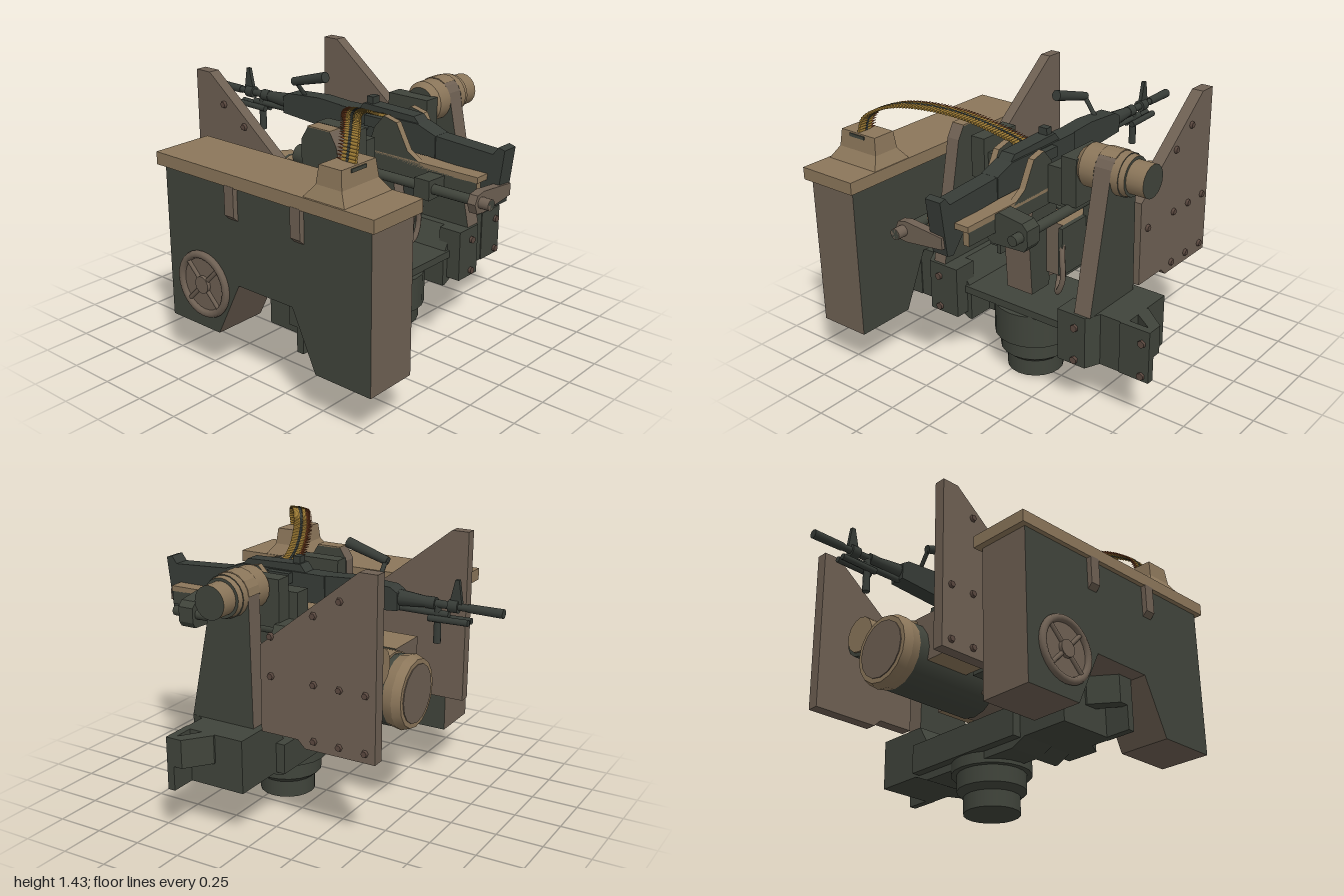
import * as THREE from 'three';
import { mergeGeometries } from 'three/addons/utils/BufferGeometryUtils.js';

const mat = (name, hex) => {
  const m = new THREE.MeshStandardMaterial({ color: hex });
  m.name = name;
  return m;
};

export function createModel() {
  const tan = mat('tan paint', 0x8b765a), brown = mat('brown paint', 0x6e6053);
  const dark = mat('dark green grey', 0x40443b), gun = mat('gunmetal', 0x373c37);
  const brass = mat('brass', 0x9c7a34), copper = mat('copper', 0x8a4a26), bolt = mat('bolt', 0x5a483f);
  const root = new THREE.Group();

  const add = (name, geo, m) => {
    const mesh = new THREE.Mesh(geo, m);
    mesh.name = name;
    root.add(mesh);
  };
  // box given by its limits
  const box = (name, m, x0, x1, y0, y1, z0, z1) =>
    add(name, new THREE.BoxGeometry(x1 - x0, y1 - y0, z1 - z0)
      .translate((x0 + x1) / 2, (y0 + y1) / 2, (z0 + z1) / 2), m);
  // cylinder between two points, radius r0 at a and r1 at b
  const tubeGeo = (a, b, r0, r1 = r0, seg = 16) => {
    const va = new THREE.Vector3(...a), d = new THREE.Vector3(...b).sub(va);
    const q = new THREE.Quaternion().setFromUnitVectors(new THREE.Vector3(0, 1, 0), d.clone().normalize());
    return new THREE.CylinderGeometry(r1, r0, d.length(), seg).applyQuaternion(q)
      .translate(...va.addScaledVector(d, 0.5).toArray());
  };
  const rod = (name, m, a, b, r0, r1, seg) => add(name, tubeGeo(a, b, r0, r1, seg), m);
  const extrude = (pts, depth) => new THREE.ExtrudeGeometry(
    new THREE.Shape(pts.map(p => new THREE.Vector2(...p))), { depth, bevelEnabled: false });
  // side profile of [z, y] points, spanning x0..x1
  const side = (name, m, pts, x0, x1) =>
    add(name, extrude(pts, x1 - x0).rotateY(-Math.PI / 2).translate(x1, 0, 0), m);
  // front profile of [x, y] points, spanning z0..z1
  const front = (name, m, pts, z0, z1) => add(name, extrude(pts, z1 - z0).translate(0, 0, z0), m);
  // plan outline of [x, z] points, spanning y0..y1
  const plan = (name, m, pts, y0, y1) =>
    add(name, extrude(pts.map(([x, z]) => [x, -z]), y1 - y0).rotateX(-Math.PI / 2).translate(0, y0, 0), m);
  const capped = [dark, brown], faced = [dark, dark, tan, tan, brown, brown];

  // turntable pedestal
  const px = 0.053, pz = 0.215;
  [[0, 0.09, 0.15, 0.15], [0.09, 0.12, 0.15, 0.185], [0.12, 0.21, 0.185, 0.185], [0.21, 0.39, 0.215, 0.215]]
    .forEach(([y0, y1, r0, r1]) => rod('pedestal', dark, [px, y0, pz], [px, y1, pz], r0, r1, 20));

  // cross beam: slim middle under a deck plate, raised boxes at both ends
  front('crossBeam', dark, [[-0.36, 0.27], [-0.27, 0.23], [0.37, 0.23], [0.46, 0.27], [0.46, 0.4], [-0.36, 0.4]], 0.04, 0.24);
  box('beamDeck', dark, -0.33, 0.43, 0.39, 0.43, -0.01, 0.4);
  box('beamBackRib', dark, -0.33, 0.43, 0.27, 0.4, -0.01, 0.05);
  // mirrored about the pedestal axis
  [-1, 1].forEach(s => {
    const mx = pts => pts.map(([x, v]) => [px + s * (x - px), v]);
    front('beamEnd', dark, mx([[0.66, 0.27], [0.66, 0.55], [0.43, 0.55], [0.35, 0.41], [0.35, 0.23], [0.37, 0.23], [0.45, 0.27]]), 0.04, 0.385);
    plan('endBox', dark, mx([[0.65, 0.04], [0.73, 0.04], [0.73, 0.385], [0.65, 0.385]]), 0.27, 0.55);
    plan('wingPlate', dark, mx([[0.7, 0.35], [0.87, 0.35], [0.87, 0.39], [0.7, 0.39]]), 0.27, 0.55);
    plan('wingRib', dark, mx([[0.72, 0.2], [0.74, 0.2], [0.87, 0.3], [0.87, 0.36], [0.85, 0.36], [0.72, 0.27]]), 0.4, 0.55);
  });
  plan('armFoot', dark, [[-0.53, 0.33], [-0.455, 0.465], [-0.27, 0.465], [-0.27, 0.33]], 0.27, 0.55);
  plan('armFoot', dark, [[0.385, 0.33], [0.385, 0.465], [0.55, 0.465], [0.61, 0.33]], 0.27, 0.55);
  [[-0.39, 0.46], [0.49, 0.46], [0.83, 0.385]].forEach(([x, z]) => [0.3, 0.48].forEach(y =>
    rod('beamBolt', bolt, [x, y, z], [x, y, z + 0.02], 0.02, 0.02, 6)));

  // upright trunnion arms, the motor side with a round head
  const head = [...Array(9)].map((_, i) => {
    const a = i * Math.PI / 8;
    return [0.2 + 0.108 * Math.cos(a), 1.225 + 0.108 * Math.sin(a)];
  });
  side('leftArm', capped, [[0.08, 0.55], [0.45, 0.55], ...head], 0.475, 0.57);
  side('rightArm', capped, [[0.08, 0.55], [0.45, 0.55], [0.31, 1.2], [0.27, 1.265], [0.13, 1.265], [0.09, 1.2]], -0.435, -0.36);
  box('rightArmCap', tan, -0.435, -0.36, 1.263, 1.27, 0.13, 0.27);

  // elevation motor, with its cover over the arm's head
  [[0.355, 0.39, 0.085, 0.11], [0.39, 0.475, 0.11, 0.11], [0.57, 0.61, 0.11, 0.11],
    [0.61, 0.64, 0.105, 0.1], [0.64, 0.735, 0.085, 0.085]].forEach(([x0, x1, r0, r1]) =>
    rod('elevationMotor', [tan, dark, dark], [x0, 1.222, 0.2], [x1, 1.222, 0.2], r0, r1, 20));
  side('motorCover', tan, [0, 1, 2, 3, 4, 5, 6].map(i => {
    const a = Math.PI * (0.3 + i * 0.7 / 6);
    return [0.2 - 0.112 * Math.cos(Math.PI - a), 1.225 + 0.112 * Math.sin(a)];
  }), 0.476, 0.569);

  // armour plates with bolts on the outside
  const plate = [[0.03, 0.55], [0.03, 1.0], [-0.51, 1.43], [-0.605, 1.43], [-0.605, 0.51], [-0.22, 0.51], [-0.18, 0.55]];
  const spots = [[-0.41, 1.28], [-0.27, 1.19], [-0.03, 1.05], [-0.03, 0.85], [-0.27, 0.85], [-0.41, 0.85],
    [-0.55, 0.85], [-0.27, 0.56], [-0.41, 0.56], [-0.55, 0.56]];
  [[-0.465, -0.405, -0.465, -1], [0.505, 0.57, 0.57, 1]].forEach(([x0, x1, xo, s]) => {
    side('armourPlate', brown, plate, x0, x1);
    spots.forEach(([z, y]) => rod('plateBolt', bolt, [xo - s * 0.005, y, z], [xo + s * 0.014, y, z], 0.021, 0.016, 6));
  });

  // ammunition box, notched over the end of the beam
  side('ammoBox', capped, [[0.87, 0.25], [0.87, 1.06], [-0.435, 1.06], [-0.435, 0.25], [-0.1, 0.25],
    [0.05, 0.55], [0.4, 0.55], [0.54, 0.25]], -0.845, -0.56);
  box('boxLid', tan, -0.87, -0.535, 1.055, 1.12, -0.47, 0.9);
  [0.03, 0.45].forEach(z => front('lidLatch', brown,
    [[-0.84, 0.88], [-0.84, 1.06], [-0.872, 1.06], [-0.872, 0.91]], z - 0.03, z + 0.03));
  // round hatch with spokes
  const hz = -0.19, hy = 0.49;
  rod('hatchDisc', brown, [-0.84, hy, hz], [-0.852, hy, hz], 0.15, 0.15, 24);
  add('hatchRing', new THREE.TorusGeometry(0.155, 0.02, 8, 28).rotateY(Math.PI / 2).translate(-0.852, hy, hz), brown);
  rod('hatchHub', brown, [-0.85, hy, hz], [-0.87, hy, hz], 0.045);
  [0, 1, 2, 3].forEach(i => {
    const a = Math.PI / 4 + i * Math.PI / 2, c = Math.cos(a) * 0.15, s = Math.sin(a) * 0.15;
    rod('hatchSpoke', brown, [-0.855, hy, hz], [-0.855, hy + s, hz + c], 0.012, 0.012, 6);
  });
  // feed chute on the lid: square frustum and neck
  const frustum = (w0, d0, w1, d1, h) => {
    const g = new THREE.BoxGeometry(1, h, 1), p = g.attributes.position;
    for (let i = 0; i < p.count; i++) {
      const low = p.getY(i) < 0;
      p.setX(i, p.getX(i) * (low ? w0 : w1));
      p.setZ(i, p.getZ(i) * (low ? d0 : d1));
    }
    const flat = g.toNonIndexed();
    flat.computeVertexNormals();
    return flat;
  };
  add('chuteBase', frustum(0.32, 0.24, 0.25, 0.15, 0.06).translate(-0.7, 1.15, 0.61), tan);
  add('chuteNeck', frustum(0.25, 0.15, 0.23, 0.13, 0.09).translate(-0.7, 1.225, 0.61), tan);
  box('chuteSlot', dark, -0.755, -0.655, 1.245, 1.262, 0.674, 0.682);

  // sensor pod behind the mount
  rod('sensorBody', dark, [0.045, 0.69, 0.08], [0.045, 0.69, -0.47], 0.187, 0.187, 16);
  rod('sensorCollar', tan, [0.045, 0.69, -0.42], [0.045, 0.69, -0.51], 0.18, 0.197, 16);
  rod('sensorRim', tan, [0.045, 0.69, -0.51], [0.045, 0.69, -0.555], 0.197, 0.18, 16);
  rod('sensorLens', brown, [0.045, 0.69, -0.55], [0.045, 0.69, -0.56], 0.155, 0.155, 16);
  add('sensorTopCover', new THREE.CylinderGeometry(0.195, 0.195, 0.45, 8, 1, false, Math.PI * 0.78, Math.PI * 0.44)
    .rotateX(Math.PI / 2).translate(0.045, 0.69, -0.2), tan);
  box('sensorHousing', faced, -0.13, 0.24, 0.57, 0.86, 0, 0.22);
  rod('sensorBack', brown, [0.045, 0.69, 0], [0.045, 0.69, 0.2], 0.18);
  [-0.165, 0.235].forEach(x => box('housingFlange', dark, x, x + 0.025, 0.6, 0.86, 0.02, 0.26));
  rod('smallSensor', dark, [0.32, 0.88, 0], [0.32, 0.88, -0.48], 0.11, 0.105, 14);
  rod('smallSensorSleeve', tan, [0.315, 0.895, -0.2], [0.315, 0.895, -0.49], 0.1, 0.1, 14);
  [-0.2, -0.1].forEach(z => rod('sensorBand', tan, [0.32, 0.88, z - 0.02], [0.32, 0.88, z + 0.02], 0.122, 0.122, 14));
  front('sensorHanger', dark, [[0.24, 1.05], [0.24, 0.86], [0.27, 0.76], [0.31, 0.745], [0.37, 0.76],
    [0.42, 0.82], [0.445, 0.92], [0.43, 1.0], [0.4, 1.05]], -0.06, 0.06);
  box('laserBox', faced, -0.26, -0.02, 0.62, 0.88, -0.4, -0.14);
  box('lightPanel', dark, -0.26, -0.18, 0.6, 0.9, -0.14, 0.2);
  [0.65, 0.75, 0.85].forEach(y => rod('panelLight', brown, [-0.22, y, 0.19], [-0.22, y, 0.215], 0.032, 0.028, 6));
  front('panelBracket', brown, [[-0.25, 0.9], [-0.15, 0.87], [-0.03, 0.87], [-0.03, 0.95], [-0.25, 0.95]], 0.1, 0.2);
  add('cable', new THREE.TubeGeometry(new THREE.CatmullRomCurve3([[0.22, 0.83, 0.2], [0.26, 0.72, 0.26],
    [0.27, 0.58, 0.27], [0.23, 0.5, 0.26], [0.2, 0.56, 0.2]].map(p => new THREE.Vector3(...p))), 24, 0.015, 8), brown);

  // cradle under the gun
  side('cradlePost', capped, [[0.2, 0.485], [0.34, 0.485], [0.36, 0.8], [0.32, 1.0], [0.12, 1.0]], -0.03, 0.13);
  box('cradleFloor', tan, -0.07, 0.18, 1.05, 1.08, -0.15, 0.865);
  [[-0.07, -0.035], [0.145, 0.18]].forEach(([x0, x1]) => {
    side('cradleCheek', [dark, tan], [[0.86, 0.98], [0.86, 1.05], [0.55, 1.06], [0.45, 1.12], [0.38, 1.25],
      [0.3, 1.27], [0.24, 1.2], [0.2, 1.08], [-0.15, 1.06], [-0.15, 0.98]], x0, x1);
  });
  box('trunnionBlock', dark, -0.285, -0.2, 1.02, 1.24, 0.05, 0.3);
  box('trunnionBlock', dark, -0.2, -0.1, 0.99, 1.16, -0.02, 0.27);
  box('trunnionBlock', dark, 0.18, 0.28, 0.99, 1.19, 0, 0.27);
  box('trunnionBlock', dark, 0.28, 0.37, 1.02, 1.27, 0.05, 0.3);
  rod('recoilCylinder', dark, [-0.185, 1.0, 0.25], [-0.185, 1.0, -0.16], 0.055);

  // buffer rods and their cross clamps
  rod('bufferRod', dark, [-0.15, 1.0, 0.1], [-0.15, 1.0, 1.0], 0.025);
  rod('bufferRodTip', brown, [-0.15, 1.0, 0.93], [-0.15, 1.0, 1.0], 0.028);
  rod('bufferRod', dark, [0.325, 1.0, 0.1], [0.325, 1.0, 0.73], 0.027);
  front('bufferLink', brown, [[-0.18, 0.95], [-0.13, 0.945], [0.09, 0.97], [0.09, 1.03], [-0.13, 1.05],
    [-0.18, 1.04], [-0.2, 1.0]], 0.9, 0.945);
  front('rodClamp', dark, [[-0.19, 0.95], [0.1, 0.96], [0.16, 0.92], [0.35, 0.93], [0.37, 0.96], [0.37, 1.04],
    [0.34, 1.07], [0.2, 1.09], [0.14, 1.04], [-0.19, 1.05]], 0.585, 0.675);

  // machine gun, muzzle towards -z
  const gx = 0.055, by = 1.178;
  side('stock', gun, [[0.955, 1.21], [0.92, 1.22], [0.89, 1.18], [0.55, 1.2], [0.48, 1.19], [0.48, 1.09],
    [0.68, 1.08], [0.78, 1.04], [0.88, 0.92], [0.92, 0.93]], gx - 0.045, gx + 0.045);
  side('pistolGrip', gun, [[0.4, 1.1], [0.32, 1.1], [0.37, 0.8], [0.44, 0.78]], gx - 0.03, gx + 0.03);
  side('receiver', gun, [[0.56, 1.09], [0.56, 1.2], [0.45, 1.24], [-0.05, 1.24], [-0.05, 1.09]], gx - 0.05, gx + 0.05);
  side('feedCover', gun, [[0.46, 1.23], [0.42, 1.27], [0.1, 1.28], [0.06, 1.23]], gx - 0.04, gx + 0.04);
  box('feedTray', gun, -0.03, 0.14, 1.18, 1.235, 0.14, 0.28);
  box('rearSight', gun, gx - 0.025, gx + 0.025, 1.27, 1.315, 0.11, 0.15);
  rod('chargingHandle', gun, [gx - 0.1, 1.16, 0.12], [gx, 1.16, 0.12], 0.018);
  side('handguard', gun, [[-0.04, 1.09], [-0.04, 1.24], [-0.2, 1.25], [-0.42, 1.235], [-0.46, 1.21], [-0.46, 1.12]], gx - 0.045, gx + 0.045);
  rod('barrelShroud', gun, [gx, by, -0.45], [gx, by, -0.62], 0.042, 0.026, 12);
  rod('gasTube', gun, [gx, 1.13, -0.45], [gx, 1.13, -0.72], 0.017);
  rod('barrel', gun, [gx, by, -0.4], [gx, by, -0.9], 0.023, 0.017);
  [[-0.6, 0.03], [-0.72, 0.032]].forEach(([z, r]) => rod('barrelBand', gun, [gx, by, z], [gx, by, z - 0.05], r));
  rod('flashHider', gun, [gx, by, -0.82], [gx, by, -1.0], 0.022, 0.024, 10);
  side('frontSight', gun, [[-0.72, 1.18], [-0.75, 1.31], [-0.77, 1.31], [-0.79, 1.18]], gx - 0.01, gx + 0.01);
  [-0.02, 0.02].forEach(x => rod('foldedBipodLeg', gun, [gx + x, 1.11, -0.83], [gx + x, 1.105, -0.62], 0.017, 0.017, 8));
  rod('bipodPivot', gun, [gx, 1.17, -0.66], [gx, 0.98, -0.66], 0.018, 0.02, 8);
  rod('carryHandle', gun, [-0.05, 1.39, -0.1], [-0.035, 1.325, -0.335], 0.028, 0.022);
  rod('handleStem', gun, [-0.035, 1.33, -0.325], [gx, 1.21, -0.32], 0.012, 0.012, 8);

  // belt of cartridges, each lying fore and aft
  const path = new THREE.CatmullRomCurve3([[-0.71, 1.26, 0.61], [-0.68, 1.35, 0.6], [-0.6, 1.4, 0.54], [-0.5, 1.405, 0.46],
    [-0.3, 1.36, 0.33], [-0.12, 1.29, 0.25], [0.02, 1.24, 0.22]].map(p => new THREE.Vector3(...p)));
  const cases = [], tips = [], links = [], count = 62;
  for (let i = 0; i < count; i++) {
    const { x, y, z } = path.getPointAt(i / (count - 1)), at = s => [x, y, z - s];
    cases.push(tubeGeo(at(-0.055), at(0.025), 0.0085, 0.0075, 7));
    tips.push(tubeGeo(at(0.025), at(0.06), 0.006, 0.001, 7));
    links.push(tubeGeo(at(-0.015), at(0.0), 0.0095, 0.0095, 7));
  }
  add('beltCases', mergeGeometries(cases), brass);
  add('beltTips', mergeGeometries(tips), copper);
  add('beltLinks', mergeGeometries(links), gun);

  return root;
}
